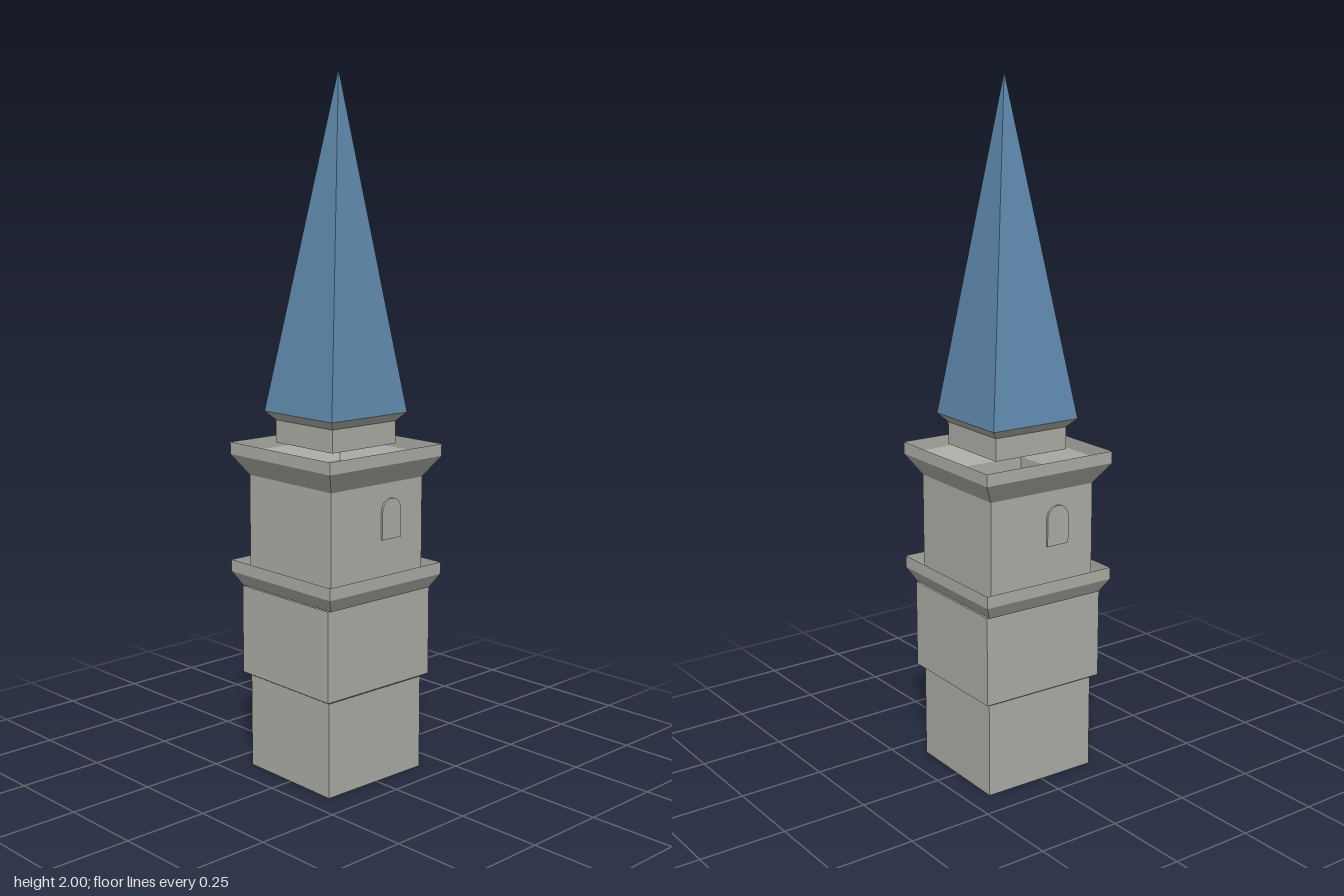
import * as THREE from 'three';

const stone = new THREE.MeshStandardMaterial({ color: 0xaeaea8, side: THREE.DoubleSide });
stone.name = 'stone grey';
const slate = new THREE.MeshStandardMaterial({ color: 0x5f89ad, side: THREE.DoubleSide });
slate.name = 'slate blue';

// Open square shell from a profile of [half width, height] points
function squareShell(name, profile, material, depthScale = 1) {
  const points = profile.map(([half, y]) => new THREE.Vector2(half * Math.SQRT2, y));
  const geometry = new THREE.LatheGeometry(points, 4, Math.PI / 4).toNonIndexed();
  geometry.scale(1, 1, depthScale);
  geometry.computeVertexNormals();
  const mesh = new THREE.Mesh(geometry, material);
  mesh.name = name;
  return mesh;
}

// Shallow round-headed window panel
function windowPanel(name) {
  const w = 0.036, bottom = 0.71, spring = 0.79;
  const shape = new THREE.Shape();
  shape.moveTo(-w, bottom);
  shape.lineTo(w, bottom);
  shape.lineTo(w, spring);
  shape.absarc(0, spring, w, 0, Math.PI, false);
  shape.lineTo(-w, bottom);
  const geometry = new THREE.ExtrudeGeometry(shape, { depth: 0.007, bevelEnabled: false, curveSegments: 8 });
  const mesh = new THREE.Mesh(geometry, stone);
  mesh.name = name;
  return mesh;
}

export function createModel() {
  const tower = new THREE.Group();
  tower.name = 'tower';

  // Hollow shafts, each flaring into an open cornice
  tower.add(
    squareShell('baseShaft', [[0.178, 0], [0.178, 0.275]], stone, 0.95),
    squareShell('middleStage', [[0.178, 0.275], [0.195, 0.285], [0.195, 0.545]], stone, 0.95),
    squareShell('lowerCornice', [[0.19, 0.545], [0.213, 0.585], [0.213, 0.62]], stone),
    squareShell('upperShaft', [[0.174, 0.545], [0.174, 0.87]], stone),
    squareShell('upperCornice', [[0.174, 0.87], [0.213, 0.93], [0.213, 0.965]], stone),
  );

  // Neck and eaves under the spire
  tower.add(
    squareShell('neck', [[0.12, 0.965], [0.12, 1.03]], stone),
    squareShell('eaves', [[0.12, 1.03], [0.143, 1.055]], stone),
  );

  // Spire, its tip leaning very slightly forward
  const spire = squareShell('spire', [[0.143, 1.055], [0.0005, 2]], slate);
  const p = spire.geometry.attributes.position;
  for (let i = 0; i < p.count; i++) {
    if (p.getY(i) > 1.5) p.setXYZ(i, p.getX(i) + 0.003, 2, p.getZ(i) + 0.008);
  }
  spire.geometry.computeVertexNormals();
  tower.add(spire);

  // One window on the front and one on the back, turned half round
  for (const [name, turn] of [['frontWindow', 0], ['backWindow', Math.PI]]) {
    const holder = new THREE.Group();
    holder.name = name + 'Mount';
    const panel = windowPanel(name);
    panel.position.set(0.05, 0, 0.173);
    holder.add(panel);
    holder.rotation.y = turn;
    tower.add(holder);
  }

  // The whole tower is turned a little about its axis
  tower.rotation.y = -0.026;

  const model = new THREE.Group();
  model.name = 'spireTower';
  model.add(tower);
  return model;
}
